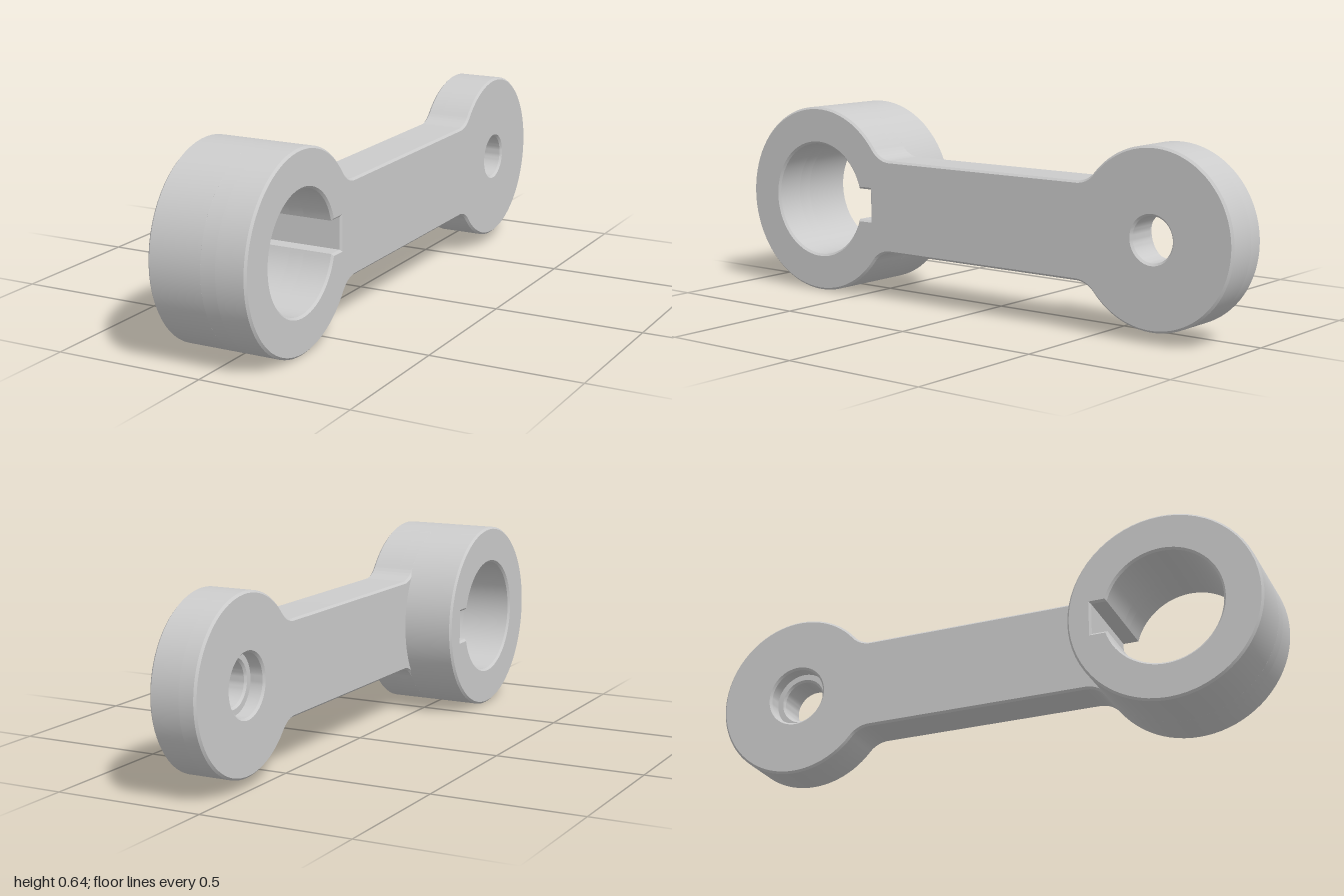
import * as THREE from 'three';
import { toCreasedNormals } from 'three/addons/utils/BufferGeometryUtils.js';

const CHAMFER = 0.007;
const CENTER_Y = 0.322;
const HUB = { u: -0.68, r: 0.322, bore: 0.195 }; // u runs towards the back (-z)
const EYE = { u: 0.71, r: 0.287, hole: 0.073, counterbore: 0.1 };
const ARM_HALF = 0.158, FILLET = 0.09;

const material = new THREE.MeshStandardMaterial({ color: 0xcccccc });

// Chamfered slab between x0 and x1, its profile lying in the side plane
function slab(name, shape, x0, x1) {
  const geometry = new THREE.ExtrudeGeometry(shape, {
    depth: x1 - x0 - 2 * CHAMFER, curveSegments: 32,
    bevelThickness: CHAMFER, bevelSize: CHAMFER, bevelOffset: -CHAMFER, bevelSegments: 1,
  });
  geometry.translate(0, 0, x0 + CHAMFER);
  geometry.rotateY(Math.PI / 2);
  const mesh = new THREE.Mesh(toCreasedNormals(geometry, 0.5), material);
  mesh.name = name;
  mesh.position.y = CENTER_Y;
  return mesh;
}

function circle(u, r) {
  return new THREE.Path().absarc(u, 0, r, 0, Math.PI * 2, false);
}

// Bore with a square keyway facing the arm
function keyedBore() {
  const half = 0.053, a = Math.asin(half / HUB.bore);
  const path = new THREE.Path();
  path.absarc(HUB.u, 0, HUB.bore, a, Math.PI * 2 - a, false);
  path.lineTo(HUB.u + 0.24, -half);
  path.lineTo(HUB.u + 0.24, half);
  path.closePath();
  return path;
}

// Two round ends joined by a straight arm with filleted necks
function leverOutline() {
  const h = ARM_HALF + FILLET, PI = Math.PI;
  const reach = (r) => Math.sqrt((r + FILLET) ** 2 - h ** 2);
  const d1 = reach(HUB.r), d2 = reach(EYE.r);
  const a1 = Math.atan2(h, d1), a2 = Math.atan2(h, d2);
  const u1 = HUB.u + d1, u2 = EYE.u - d2;
  const shape = new THREE.Shape();
  shape.absarc(HUB.u, 0, HUB.r, a1, 2 * PI - a1, false);
  shape.absarc(u1, -h, FILLET, PI - a1, PI / 2, true);
  shape.absarc(u2, -h, FILLET, PI / 2, a2, true);
  shape.absarc(EYE.u, 0, EYE.r, PI + a2, 3 * PI - a2, false);
  shape.absarc(u2, h, FILLET, -a2, -PI / 2, true);
  shape.absarc(u1, h, FILLET, -PI / 2, a1 - PI, true);
  return shape;
}

export function createModel() {
  const group = new THREE.Group();
  group.name = 'crankLever';
  const inner = 0.008, ledge = 0.058, overlap = 2 * CHAMFER;

  // Outer layer of the lever, with the narrow pin hole
  const outer = leverOutline();
  outer.holes.push(keyedBore(), circle(EYE.u, EYE.hole));
  group.add(slab('leverOuterLayer', outer, ledge, 0.167));

  // Inner layer, with the wider counterbore
  const back = leverOutline();
  back.holes.push(keyedBore(), circle(EYE.u, EYE.counterbore));
  group.add(slab('leverInnerLayer', back, inner, ledge + overlap));

  // Hub boss standing out on the inner side
  const boss = new THREE.Shape().absarc(HUB.u, 0, HUB.r, 0, Math.PI * 2, false);
  boss.holes.push(keyedBore());
  group.add(slab('hubBoss', boss, -0.168, inner + overlap));

  return group;
}
